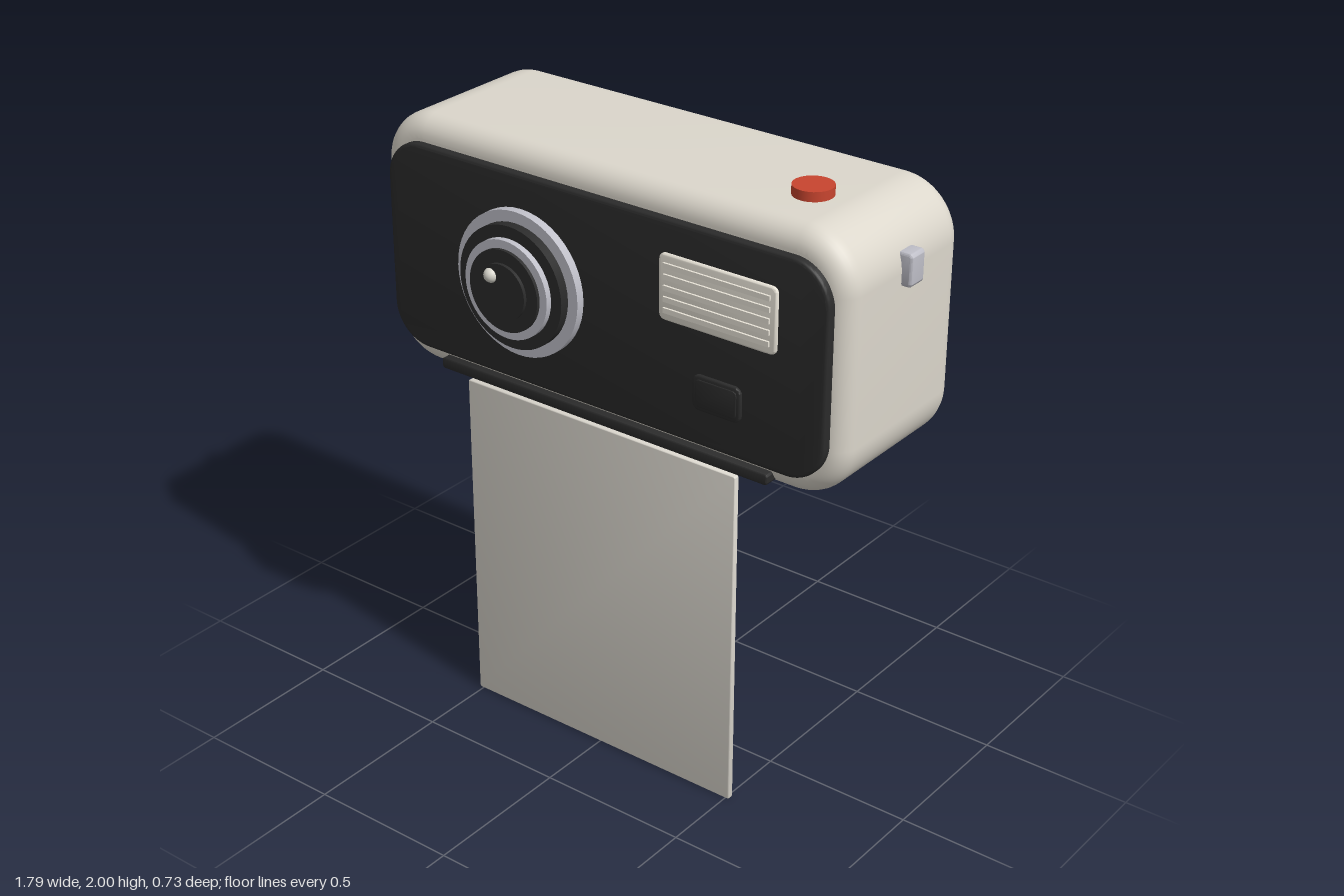
import * as THREE from 'three';
import { toCreasedNormals } from 'three/addons/utils/BufferGeometryUtils.js';

const material = (name, color) => {
  const m = new THREE.MeshStandardMaterial({ color });
  m.name = name;
  return m;
};

// Rounded rectangle in xy with bevelled rims; overall size w x h x d, centred
function roundedSlab(w, h, d, r, bevel, steps = 3) {
  const x = w / 2 - bevel, y = h / 2 - bevel, c = Math.max(r - bevel, 0.001);
  const s = new THREE.Shape();
  s.moveTo(-x + c, -y);
  s.lineTo(x - c, -y);
  s.absarc(x - c, -y + c, c, -Math.PI / 2, 0);
  s.lineTo(x, y - c);
  s.absarc(x - c, y - c, c, 0, Math.PI / 2);
  s.lineTo(-x + c, y);
  s.absarc(-x + c, y - c, c, Math.PI / 2, Math.PI);
  s.lineTo(-x, -y + c);
  s.absarc(-x + c, -y + c, c, Math.PI, Math.PI * 1.5);
  const g = new THREE.ExtrudeGeometry(s, {
    depth: d - 2 * bevel, bevelEnabled: true, bevelSize: bevel,
    bevelThickness: bevel, bevelSegments: steps, curveSegments: 10,
  });
  g.translate(0, 0, -(d / 2 - bevel));
  return toCreasedNormals(g, 0.7);
}

export function createModel() {
  const model = new THREE.Group();
  model.name = 'instantCamera';

  const cream = material('cream shell', 0xdcd7cc);
  const paper = material('paper', 0xdcd8cf);
  const ivory = material('flash diffuser', 0xede8dc);
  const black = material('black panel', 0x2b2b2b);
  const silver = material('silver', 0xbfbfc8);
  const red = material('red button', 0xc8452f);
  const glint = material('lens glint', 0xd8d6cc);

  const add = (name, geometry, mat, x, y, z, parent = model) => {
    const mesh = new THREE.Mesh(geometry, mat);
    mesh.name = name;
    mesh.position.set(x, y, z);
    parent.add(mesh);
    return mesh;
  };

  // Shell and front panel
  add('body', roundedSlab(1.73, 0.83, 0.584, 0.18, 0.07, 8), cream, 0, 1.555, -0.073);
  add('frontPanel', roundedSlab(1.63, 0.68, 0.05, 0.13, 0.01), black, 0, 1.55, 0.22);

  // Lens: stepped discs along z, [name, radius, back, front, material]
  const lens = new THREE.Group();
  lens.name = 'lens';
  lens.position.set(-0.28, 1.55, 0);
  model.add(lens);
  const steps = [
    ['outerRing', 0.234, 0.23, 0.273, silver],
    ['barrel', 0.198, 0.26, 0.304, black],
    ['innerRing', 0.159, 0.29, 0.324, silver],
    ['lensSeat', 0.132, 0.31, 0.335, black],
    ['glass', 0.09, 0.32, 0.346, black],
  ];
  for (const [name, r, back, front, mat] of steps) {
    const g = new THREE.CylinderGeometry(r, r, front - back, 48).rotateX(Math.PI / 2);
    add(name, g, mat, 0, 0, (back + front) / 2, lens);
  }
  add('glint', new THREE.SphereGeometry(0.024, 20, 14), glint, -0.04, 0.045, 0.341, lens);

  // Flash window with horizontal ribs
  add('flash', roundedSlab(0.41, 0.208, 0.03, 0.02, 0.006), ivory, 0.445, 1.687, 0.241);
  for (let i = 0; i < 5; i++) {
    add('flashRib', new THREE.BoxGeometry(0.37, 0.016, 0.012), ivory,
      0.445, 1.687 + (i - 2) * 0.035, 0.257);
  }

  // Small front window: raised frame and centre
  add('windowFrame', roundedSlab(0.172, 0.114, 0.02, 0.025, 0.005), black, 0.447, 1.387, 0.245);
  add('windowPane', roundedSlab(0.145, 0.088, 0.01, 0.015, 0.002), black, 0.447, 1.387, 0.252);

  // Film exit and print
  add('filmSlot', roundedSlab(1.25, 0.036, 0.05, 0.01, 0.005), black, 0, 1.175, 0.22);
  add('print', roundedSlab(1.03, 1.15, 0.02, 0.008, 0.004), paper, 0, 0.575, 0.237);

  // Shutter button
  add('shutterButton', new THREE.CylinderGeometry(0.062, 0.062, 0.06, 32), red, 0.585, 1.97, -0.004);

  // Strap lugs on both sides
  for (const side of [-1, 1]) {
    add(side > 0 ? 'leftStrapLug' : 'rightStrapLug',
      roundedSlab(0.06, 0.102, 0.068, 0.012, 0.008), silver, side * 0.867, 1.803, -0.073);
  }
  return model;
}
